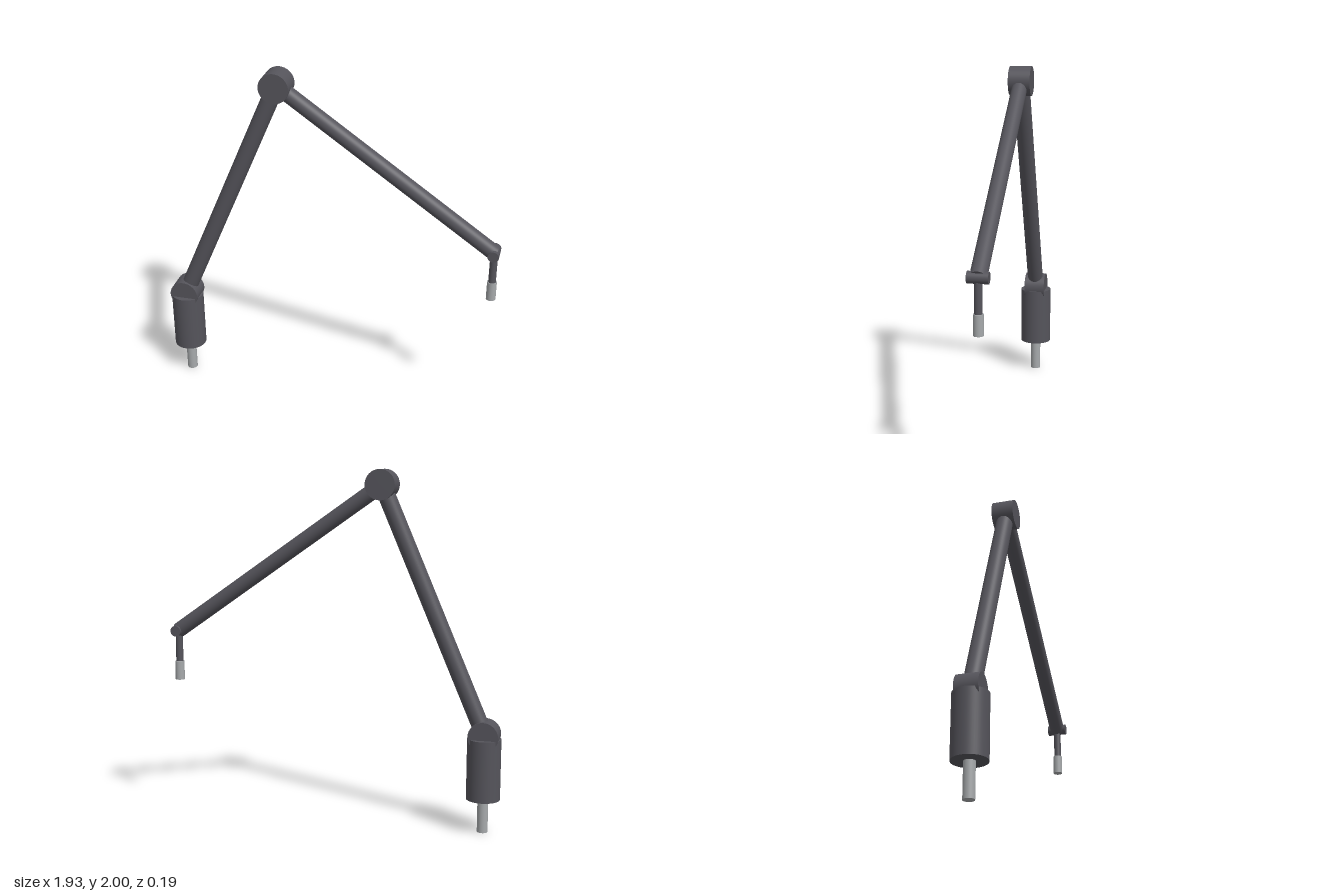
import * as THREE from 'three';

export function createModel() {
  const model = new THREE.Group();
  const dark = new THREE.MeshStandardMaterial({ color: 0x55545b });
  dark.name = 'dark grey';
  const metal = new THREE.MeshStandardMaterial({ color: 0xa6a9ab });
  metal.name = 'light metal';

  const up = new THREE.Vector3(0, 1, 0);
  // Round bar between two points
  function bar(name, a, b, radius, material = dark) {
    const dir = b.clone().sub(a);
    const mesh = new THREE.Mesh(new THREE.CylinderGeometry(radius, radius, dir.length(), 48), material);
    mesh.name = name;
    mesh.position.copy(a).add(b).multiplyScalar(0.5);
    mesh.quaternion.setFromUnitVectors(up, dir.normalize());
    model.add(mesh);
  }
  // Hinge barrel lying along z
  function hinge(name, c, radius, halfWidth) {
    const offset = new THREE.Vector3(0, 0, halfWidth);
    bar(name, c.clone().sub(offset), c.clone().add(offset), radius);
  }
  // Upright bar at a given x
  function post(name, x, y0, y1, radius, material) {
    bar(name, new THREE.Vector3(x, y0, 0), new THREE.Vector3(x, y1, 0), radius, material);
  }

  const shoulder = new THREE.Vector3(-0.874, 0.552, 0);
  const elbow = new THREE.Vector3(-0.286, 1.916, 0);
  const wrist = new THREE.Vector3(0.933, 1.063, 0);

  // Base
  post('mountingPin', shoulder.x, 0, 0.19, 0.03, metal);
  post('base', shoulder.x, 0.19, 0.535, 0.094, dark);

  // Arms and hinges
  hinge('shoulderHinge', shoulder, 0.084, 0.0625);
  bar('lowerArm', shoulder, elbow, 0.048);
  hinge('elbowHinge', elbow, 0.084, 0.0625);
  bar('upperArm', elbow, wrist, 0.044);
  hinge('wristHinge', wrist, 0.031, 0.055);

  // Hanging mount
  post('hangingRod', wrist.x, 0.88, wrist.y, 0.021, dark);
  post('threadedTip', wrist.x, 0.77, 0.88, 0.027, metal);

  return model;
}
